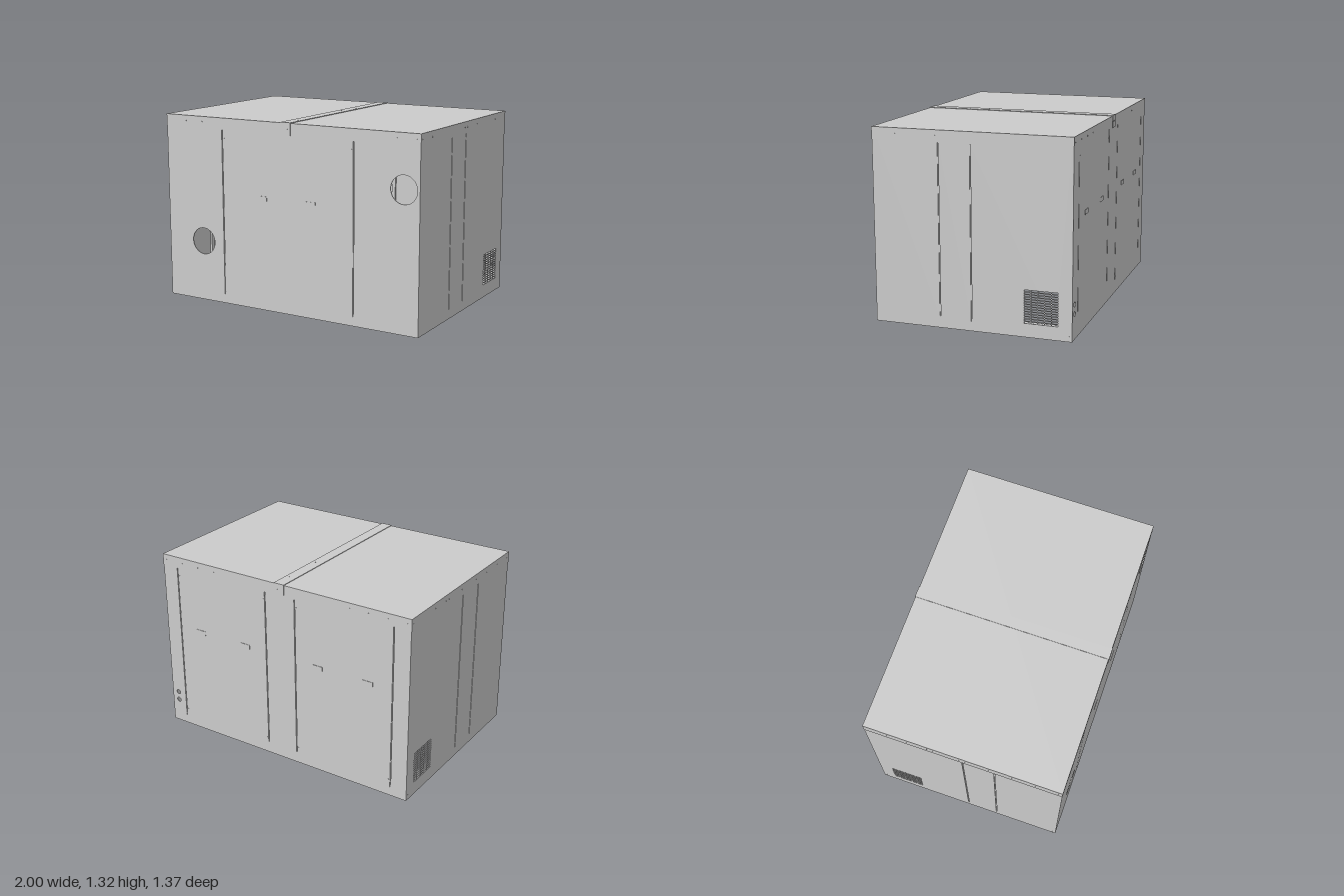
import * as THREE from 'three';

const W = 0.998, D = 0.682, H = 1.316, T = 0.006; // wall half sizes, height, sheet thickness
const mat = new THREE.MeshStandardMaterial({ color: 0xcccccc, side: THREE.DoubleSide });

function add(parent, name, geo, x = 0, y = 0, z = 0) {
  const m = new THREE.Mesh(geo, mat);
  m.name = name;
  m.position.set(x, y, z);
  parent.add(m);
  return m;
}
const box = (parent, name, w, h, d, x, y, z) => add(parent, name, new THREE.BoxGeometry(w, h, d), x, y, z);

function rectPath(Kind, w, h, x, y) {
  const p = new Kind();
  p.moveTo(x - w / 2, y - h / 2);
  p.lineTo(x + w / 2, y - h / 2);
  p.lineTo(x + w / 2, y + h / 2);
  p.lineTo(x - w / 2, y + h / 2);
  p.closePath();
  return p;
}

function screw(parent, x, y, z) {
  const m = add(parent, 'screw', new THREE.CylinderGeometry(0.004, 0.004, 0.006, 10), x, y, z);
  m.rotation.x = Math.PI / 2;
}

// One sheet wall in its own frame: u across, y up, outer face towards local +z
function wall(name, half, dist, angle, o) {
  const g = new THREE.Group();
  g.name = name;
  g.rotation.y = angle;
  const shape = rectPath(THREE.Shape, half * 2, H, 0, H / 2);
  for (const u of o.seams) shape.holes.push(rectPath(THREE.Path, 0.007, 1.17, u, 0.65));
  for (const [u, y, r] of o.ports || []) shape.holes.push(new THREE.Path().absarc(u, y, r, 0, Math.PI * 2, true));
  // louvre grid of narrow slots
  if (o.vent) {
    for (let c = 0; c < 5; c++) for (let r = 0; r < 14; r++) {
      shape.holes.push(rectPath(THREE.Path, 0.042, 0.011, o.vent * (0.383 + c * 0.046), 0.0985 + r * 0.0164));
    }
  }
  const geo = new THREE.ExtrudeGeometry(shape, { depth: T, bevelEnabled: false, curveSegments: 32 });
  add(g, 'panel', geo, 0, 0, dist - T);
  // folded returns behind the seams
  for (const u of o.seams) {
    box(g, 'seamReturn', 0.03, 1.2, 0.016, u - Math.sign(u) * 0.008, 0.65, dist - T - 0.01);
  }
  for (const u of o.handles || []) box(g, 'handle', 0.076, 0.032, 0.028, u, 0.788, dist - 0.011);
  for (const [u, y] of o.screws || []) screw(g, u, y, dist - 0.0015);
  for (const u of o.lidScrews) screw(g, u, 1.28, dist + (Math.abs(u) < 0.03 && o.strip ? 0.002 : 0));
  return g;
}

export function createModel() {
  const model = new THREE.Group();
  model.name = 'enclosure';

  // Front and back walls with doors
  const longRow = [-0.97, -0.83, -0.69, -0.55, -0.015, 0.015, 0.55, 0.69, 0.83, 0.97];
  const doorScrews = (us) => us.flatMap((u) => [[u, 1.18], [u, 0.12]]);
  model.add(wall('frontWall', W, D, 0, {
    seams: [-0.52, 0.52],
    ports: [[-0.697, 0.43, 0.095], [0.885, 0.955, 0.095]],
    handles: [-0.194, 0.194],
    screws: doorScrews([-0.505, 0.505]),
    lidScrews: longRow, strip: true,
  }));
  model.add(wall('backWall', W, D, Math.PI, {
    seams: [-0.875, -0.12, 0.12, 0.875],
    ports: [[-0.945, 0.237, 0.017], [-0.945, 0.173, 0.017]],
    handles: [-0.69, -0.3, 0.3, 0.69],
    screws: doorScrews([-0.86, -0.135, 0.135, 0.86]),
    lidScrews: longRow, strip: true,
  }));

  // End walls, mirrored
  for (const s of [1, -1]) {
    model.add(wall(s > 0 ? 'leftWall' : 'rightWall', D - T, W, s * Math.PI / 2, {
      seams: [-0.22 * s, 0],
      vent: s,
      screws: [[-0.66, 0.035], [0.66, 0.035]],
      lidScrews: [-0.66, -0.52, -0.38, -0.24, -0.2, -0.02, 0.02, 0.18, 0.34, 0.5, 0.655],
    }));
  }

  // Lid with a short lip all round
  const lid = new THREE.Group();
  lid.name = 'lid';
  model.add(lid);
  box(lid, 'lidTop', 2, 0.006, 1.366, 0, 1.315, 0);
  for (const s of [1, -1]) {
    box(lid, 'lidLongLip', 2, 0.082, 0.004, 0, 1.277, s * 0.681);
    box(lid, 'lidEndLip', 0.004, 0.082, 1.366, s * 0.998, 1.277, 0);
  }

  // Cover strip over the lid joint, folded down at both ends
  const strip = new THREE.Group();
  strip.name = 'coverStrip';
  model.add(strip);
  box(strip, 'stripTop', 0.08, 0.006, 1.372, 0, 1.319, 0);
  for (const s of [1, -1]) box(strip, 'stripEnd', 0.08, 0.087, 0.005, 0, 1.2785, s * 0.6835);
  [-0.55, -0.39, -0.24, -0.08, 0.08, 0.23, 0.39, 0.55].forEach((z, i) => {
    const x = [0.015, -0.015, 0.015, -0.015, -0.015, 0.015, -0.015, 0.015][i];
    add(strip, 'stripScrew', new THREE.CylinderGeometry(0.004, 0.004, 0.004, 10), x, 1.321, z);
  });

  // Open base frame
  const base = rectPath(THREE.Shape, 1.99, 1.36, 0, 0);
  base.holes.push(rectPath(THREE.Path, 1.87, 1.24, 0, 0));
  const rail = add(model, 'baseFrame', new THREE.ExtrudeGeometry(base, { depth: 0.08, bevelEnabled: false }));
  rail.rotation.x = -Math.PI / 2;

  return model;
}
